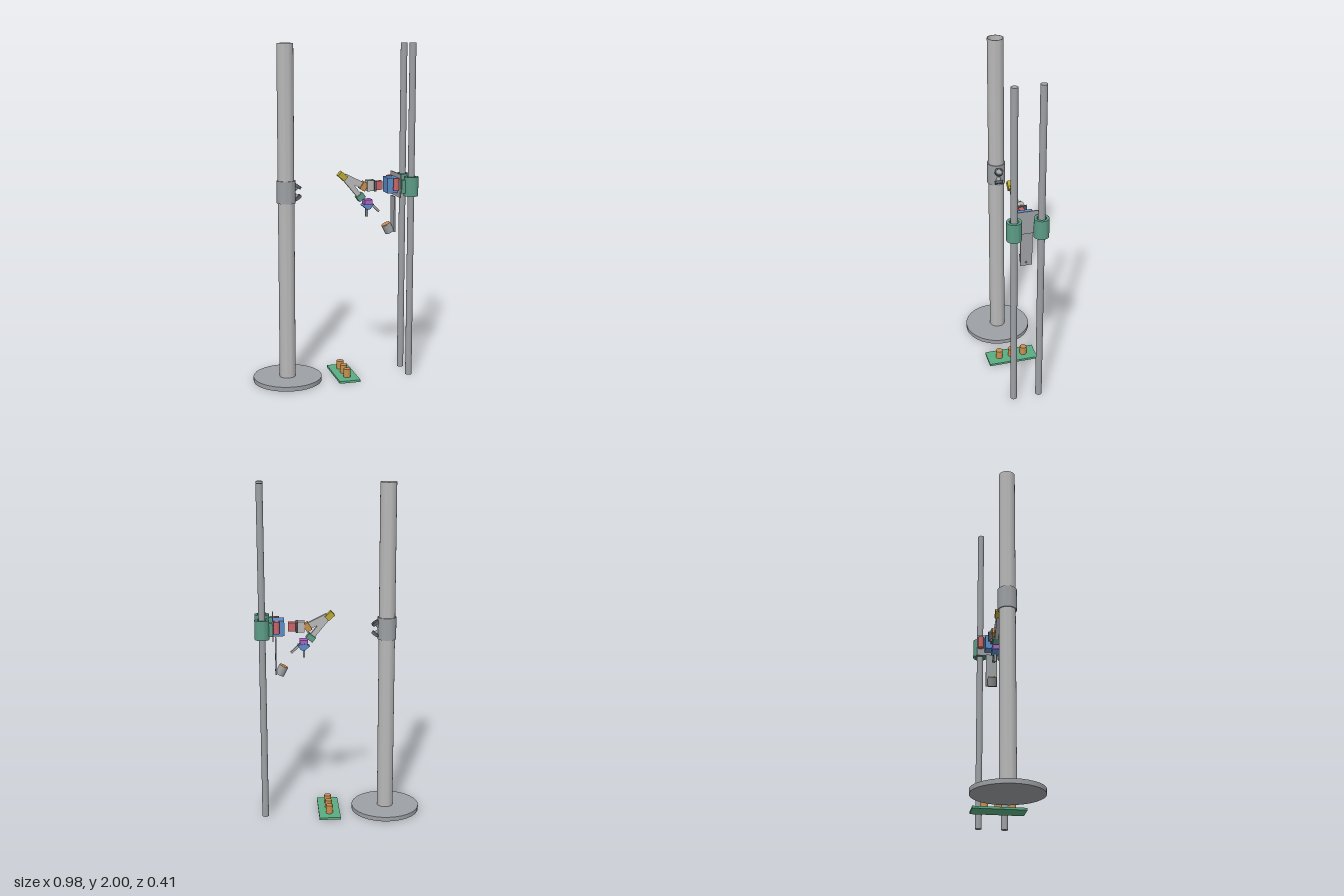
import * as THREE from 'three';
import { toCreasedNormals } from 'three/addons/utils/BufferGeometryUtils.js';

const mat = (name, color) => new THREE.MeshStandardMaterial({ name, color });

export function createModel() {
  const root = new THREE.Group();
  root.name = 'robotRig';

  const steel = mat('steel', 0x9da0a4);
  const pale = mat('paleGrey', 0xb8b8b8);
  const dark = mat('darkGrey', 0x5c5f63);
  const orange = mat('orange', 0xc98f50);
  const blue = mat('blue', 0x5b8cc8);
  const red = mat('red', 0xc8646a);
  const purple = mat('purple', 0xa862c4);
  const yellow = mat('yellow', 0xb8a834);
  const green = mat('boardGreen', 0x5aac82);
  const teal = mat('tealGreen', 0x5c9c86);

  const group = (name) => {
    const g = new THREE.Group();
    g.name = name;
    root.add(g);
    return g;
  };
  const put = (parent, name, geo, material, x, y, z, tilt = 0) => {
    const m = new THREE.Mesh(geo, material);
    m.name = name;
    m.position.set(x, y, z);
    m.rotation.z = tilt;
    parent.add(m);
    return m;
  };
  const box = (parent, name, material, [w, h, d], [x, y, z], tilt = 0) =>
    put(parent, name, new THREE.BoxGeometry(w, h, d), material, x, y, z, tilt);
  const cyl = (parent, name, material, r, h, [x, y, z], tilt = 0, rTop = r) =>
    put(parent, name, new THREE.CylinderGeometry(rTop, r, h, 32), material, x, y, z, tilt);
  // Hollow upright tube centred on its height
  const tube = (parent, name, material, ro, ri, h, [x, y, z], tilt = 0) => {
    const profile = [[ro, -h / 2], [ro, h / 2], [ri, h / 2], [ri, -h / 2], [ro, -h / 2]];
    const geo = new THREE.LatheGeometry(profile.map(([r, v]) => new THREE.Vector2(r, v)), 36);
    return put(parent, name, toCreasedNormals(geo, 0.6), material, x, y, z, tilt);
  };
  // Flat plate drawn in the xy plane, centred on z
  const plate = (parent, name, material, points, depth, z = 0) => {
    const shape = new THREE.Shape(points.map(([x, y]) => new THREE.Vector2(x, y)));
    const geo = new THREE.ExtrudeGeometry(shape, { depth, bevelEnabled: false });
    return put(parent, name, geo, material, 0, 0, z - depth / 2);
  };
  // Tapered bar from a to b
  const link = (parent, name, material, a, b, wa, wb, depth) => {
    const dx = b[0] - a[0], dy = b[1] - a[1], l = Math.hypot(dx, dy);
    const nx = -dy / l / 2, ny = dx / l / 2;
    return plate(parent, name, material, [
      [a[0] - nx * wa, a[1] - ny * wa], [b[0] - nx * wb, b[1] - ny * wb],
      [b[0] + nx * wb, b[1] + ny * wb], [a[0] + nx * wa, a[1] + ny * wa],
    ], depth);
  };

  // Pole on a round base, with a clamped sleeve
  const pole = group('pole');
  const px = -0.289;
  cyl(pole, 'poleBase', steel, 0.205, 0.026, [px, 0.013, 0]);
  tube(pole, 'poleTube', pale, 0.048, 0.044, 1.975, [px, 1.0125, 0]);
  tube(pole, 'sleeve', steel, 0.055, 0.049, 0.132, [px, 1.146, 0]);
  for (const s of [1, -1]) {
    const y = 1.143 + s * 0.03;
    cyl(pole, 'nozzleStem', steel, 0.014, 0.04, [-0.235, y - s * 0.008, 0], -s * 0.8);
    tube(pole, 'nozzleRing', dark, 0.025, 0.015, 0.018, [-0.222, y + s * 0.004, 0], -s * 0.6);
    cyl(pole, 'nozzleCore', steel, 0.015, 0.012, [-0.222, y + s * 0.004, 0], -s * 0.6);
  }

  // Circuit board with three buttons
  const board = group('buttonBoard');
  box(board, 'board', green, [0.128, 0.013, 0.308], [0.059, 0.0065, 0]);
  for (const z of [-0.078, 0, 0.078])
    cyl(board, 'button', orange, 0.021, 0.051, [0.06, 0.038, z]);

  // Twin rails and sliding bearings
  const rails = group('rails');
  for (const z of [-0.063, 0.093]) {
    cyl(rails, 'rail', steel, 0.0195, 2, [0.447, 1, z]);
    tube(rails, 'bearing', teal, 0.043, 0.027, 0.115, [0.447, 1.163, z]);
    box(rails, 'bearingTab', teal, [0.026, 0.08, 0.032], [0.397, 1.163, z]);
  }

  // Carriage plate with shoulder block and motors
  const carriage = group('carriage');
  box(carriage, 'carriagePlate', steel, [0.006, 0.14, 0.182], [0.384, 1.165, 0]);
  box(carriage, 'shoulderBlock', blue, [0.064, 0.092, 0.088], [0.349, 1.163, 0]);
  for (const z of [-0.069, 0.069])
    cyl(carriage, 'motor', red, 0.0175, 0.072, [0.363, 1.174, z]);

  // Lamp hanging below the carriage
  const lamp = group('lamp');
  box(lamp, 'lampHanger', steel, [0.008, 0.215, 0.07], [0.368, 0.987, 0]);
  cyl(lamp, 'hangerBolt', dark, 0.006, 0.006, [0.373, 0.9, 0], Math.PI / 2);
  cyl(lamp, 'lampHousing', steel, 0.028, 0.054, [0.336, 0.899, 0], 0.47);
  cyl(lamp, 'lampLens', orange, 0.027, 0.006, [0.323, 0.924, 0], 0.47);

  // Folding arm
  const arm = group('arm');
  box(arm, 'armMotor', red, [0.045, 0.053, 0.03], [0.272, 1.163, 0]);
  box(arm, 'armFlange', dark, [0.012, 0.062, 0.075], [0.244, 1.163, 0]);
  box(arm, 'armHousing', pale, [0.04, 0.064, 0.052], [0.218, 1.164, 0]);
  box(arm, 'shoulderJoint', orange, [0.05, 0.034, 0.044], [0.181, 1.161, 0], 1);
  link(arm, 'upperLink', pale, [0.062, 1.218], [0.183, 1.163], 0.045, 0.036, 0.022);
  box(arm, 'elbowJoint', yellow, [0.05, 0.034, 0.044], [0.05, 1.226, 0], -0.73);
  link(arm, 'foreLink', pale, [0.064, 1.214], [0.158, 1.1], 0.032, 0.03, 0.0215);
  box(arm, 'wristJoint', teal, [0.048, 0.034, 0.044], [0.162, 1.097, 0], 0.66);

  // Gripper with two fingers
  const gripper = group('gripper');
  box(gripper, 'gripperMotor', purple, [0.048, 0.03, 0.058], [0.203, 1.068, 0.011]);
  plate(gripper, 'gripperBody', blue,
    [[0.168, 1.046], [0.203, 1.018], [0.222, 1.026], [0.241, 1.053], [0.19, 1.062]], 0.044);
  link(gripper, 'downFinger', steel, [0.202, 1.03], [0.202, 0.976], 0.014, 0.012, 0.016);
  link(gripper, 'sideFinger', steel, [0.225, 1.056], [0.278, 1.005], 0.014, 0.013, 0.016);

  return root;
}
